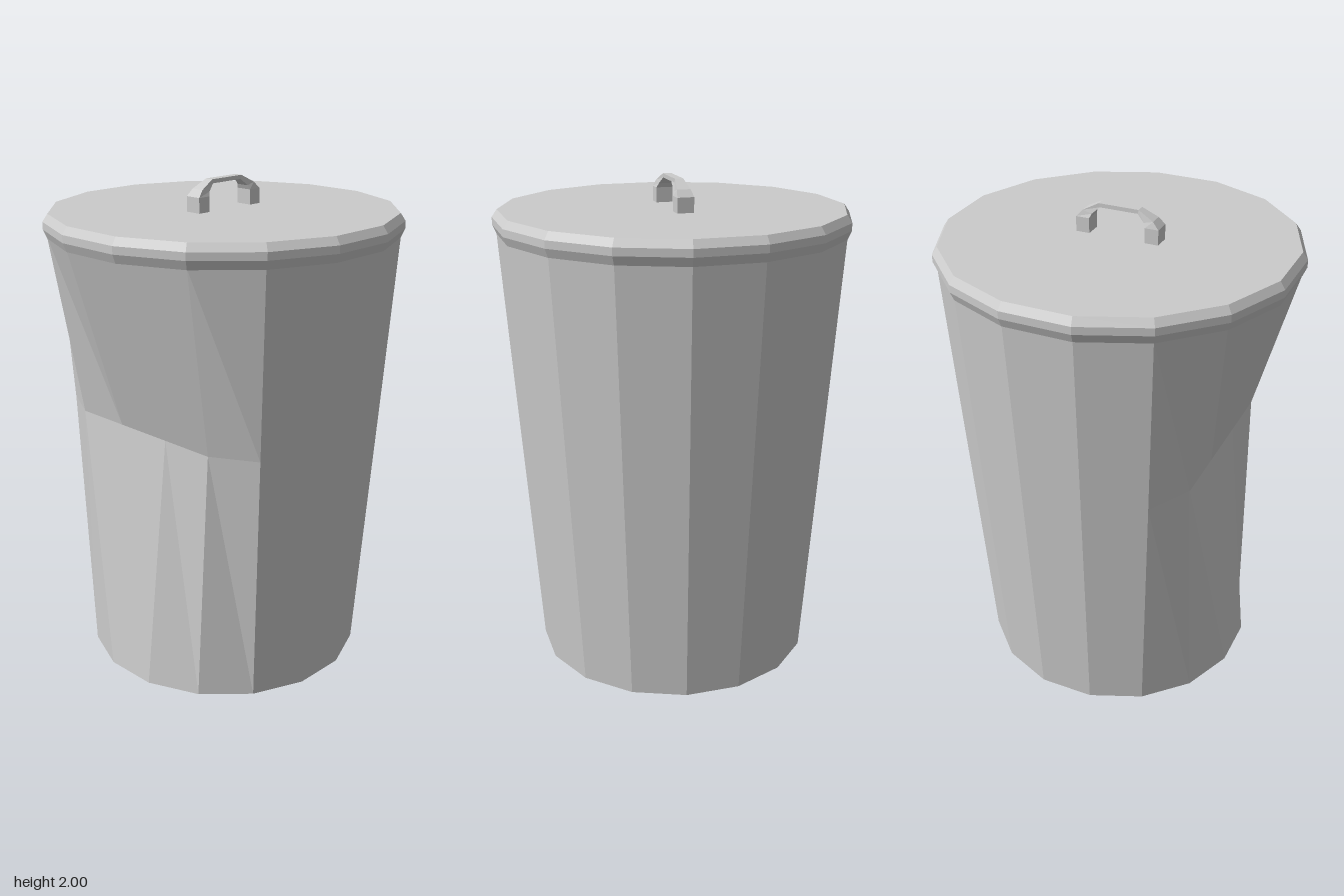
import * as THREE from 'three';

const SIDES = 16;
const material = new THREE.MeshStandardMaterial({ color: 0xcccccc, flatShading: true });

function addMesh(group, name, geometry) {
  const mesh = new THREE.Mesh(geometry, material);
  mesh.name = name;
  group.add(mesh);
}

// Sixteen-sided solid with flats facing the axes; profile is [flat distance, y]
function facetedLathe(profile) {
  const points = profile.map(([r, y]) => new THREE.Vector2(r / Math.cos(Math.PI / SIDES), y));
  return new THREE.LatheGeometry(points, SIDES, Math.PI / SIDES);
}

// Tapered can whose front is pressed flat at mid height
function bodyGeometry() {
  const geometry = facetedLathe([[0, 0], [0.56, 0], [0.634, 1.05], [0.685, 1.79]]);
  const pos = geometry.attributes.position;
  for (let i = 0; i < pos.count; i++) {
    if (Math.abs(pos.getY(i) - 1.05) < 0.01) pos.setZ(i, Math.min(pos.getZ(i), 0.455));
  }
  geometry.computeVertexNormals();
  return geometry;
}

// Arched grip: four-cornered sections swept from the front foot to the back foot
function handleGeometry() {
  // outer z, outer y, inner z, inner y, half width
  const half = [
    [0.17, 1.87, 0.115, 1.87, 0.034],
    [0.17, 1.94, 0.115, 1.94, 0.034],
    [0.145, 1.967, 0.107, 1.957, 0.027],
    [0.082, 2.0, 0.078, 1.984, 0.017],
  ];
  const mirrored = half.map(([zo, yo, zi, yi, w]) => [-zo, yo, -zi, yi, w]).reverse();
  const sections = [...half, ...mirrored];
  const vertices = [];
  const indices = [];
  sections.forEach(([zo, yo, zi, yi, w], s) => {
    vertices.push(-w, yo, zo, w, yo, zo, w, yi, zi, -w, yi, zi);
    if (s === 0) return;
    for (let k = 0; k < 4; k++) {
      const a = (s - 1) * 4 + k;
      const b = (s - 1) * 4 + ((k + 1) % 4);
      indices.push(a, b, b + 4, a, b + 4, a + 4);
    }
  });
  const geometry = new THREE.BufferGeometry();
  geometry.setAttribute('position', new THREE.Float32BufferAttribute(vertices, 3));
  geometry.setIndex(indices);
  geometry.computeVertexNormals();
  return geometry;
}

export function createModel() {
  const group = new THREE.Group();
  group.name = 'trashCan';
  addMesh(group, 'body', bodyGeometry());
  // Lid with a bevelled rim
  addMesh(group, 'lid', facetedLathe([
    [0, 1.785], [0.685, 1.785], [0.7, 1.82], [0.7, 1.85], [0.68, 1.88], [0, 1.88],
  ]));
  addMesh(group, 'lidHandle', handleGeometry());
  return group;
}
